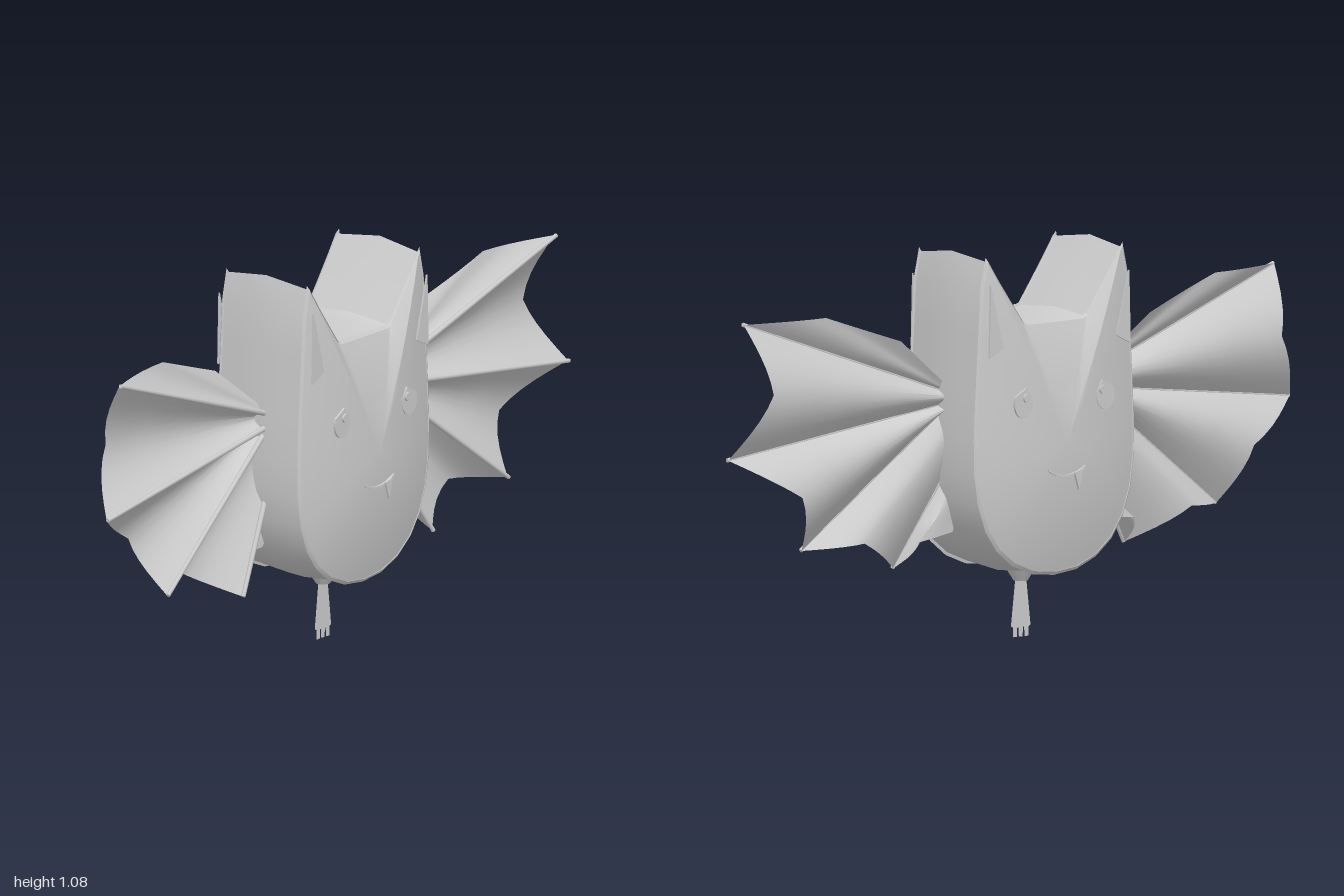
import * as THREE from 'three';
import { toCreasedNormals } from 'three/addons/utils/BufferGeometryUtils.js';

const grey = new THREE.MeshStandardMaterial({ color: 0xcccccc, side: THREE.DoubleSide });

function add(parent, name, geometry) {
  const mesh = new THREE.Mesh(geometry, grey);
  mesh.name = name;
  parent.add(mesh);
  return mesh;
}

// Surface through rows of equally many points
function loft(rows, closed, crease) {
  const pos = [], n = rows[0].length;
  for (let i = 0; i < rows.length - 1; i++) {
    for (let j = 0; j < (closed ? n : n - 1); j++) {
      const k = (j + 1) % n;
      const a = rows[i][j], b = rows[i][k], c = rows[i + 1][k], d = rows[i + 1][j];
      pos.push(...a, ...b, ...c, ...a, ...c, ...d);
    }
  }
  const g = new THREE.BufferGeometry();
  g.setAttribute('position', new THREE.Float32BufferAttribute(pos, 3));
  g.computeVertexNormals();
  return toCreasedNormals(g, crease);
}

function plate(points, depth) {
  const shape = new THREE.Shape(points.map(p => new THREE.Vector2(p[0], p[1])));
  return new THREE.ExtrudeGeometry(shape, { depth, bevelEnabled: false });
}

// Head outline, counter-clockwise, scaled about the centre of the face
const CY = 0.55;
const half = [[0.08, 0.189], [0.15, 0.218], [0.205, 0.262], [0.245, 0.32], [0.272, 0.395],
  [0.285, 0.48], [0.287, 0.58], [0.28, 0.72], [0.27, 0.88], [0.263, 1.0], [0.245, 1.08],
  [0.205, 1.02], [0.155, 0.95], [0.115, 0.895], [0.1, 0.89]];
const outline = [[0, 0.18], ...half, ...half.map(([x, y]) => [-x, y]).reverse()];
const ring = (s, z) => outline.map(([x, y]) => [x * s, CY + (y - CY) * s, z]);
const RIM = 0.965;

function buildFace() {
  const face = new THREE.Group();
  // Domed front, with the forehead wedge running down to the nose
  const rows = [1, 0.93, 0.84, 0.72, 0.58, 0.42, 0.25, 0.1, 0.001]
    .map(s => ring(s * RIM, 0.143 + 0.052 * (1 - s ** 1.9)));
  add(face, 'faceDome', loft(rows, true, 0.45));
  add(face, 'faceRim', loft([ring(RIM, 0.138), ring(0.99, 0.14), ring(RIM, 0.147)], true, 0.3));

  for (const s of [-1, 1]) {
    add(face, 'innerEar', plate([[0.245 * s, 1.0], [0.25 * s, 0.8], [0.2 * s, 0.825]], 0.006))
      .position.z = 0.161;
    // Eye: half-closed almond under a slanting lid
    const eye = [];
    for (let i = 0; i <= 14; i++) {
      const a = Math.PI * (0.86 + i / 14 * 1.2);
      eye.push([s * (0.145 - 0.032 * Math.cos(a)), 0.672 + 0.042 * Math.sin(a)]);
    }
    eye.push([s * 0.135, 0.712]);
    const eyeMesh = add(face, 'eye', plate(eye, 0.006));
    eyeMesh.position.z = 0.18;
    const pupil = add(face, 'pupil', new THREE.CylinderGeometry(0.013, 0.013, 0.006, 12));
    pupil.rotation.x = Math.PI / 2;
    pupil.position.set(0.135 * s, 0.685, 0.189);
  }

  // Smile and single fang
  const top = [], low = [];
  for (let i = 0; i <= 10; i++) {
    const x = -0.065 + 0.013 * i;
    const y = 0.462 + 4.5 * x * x;
    top.push([x, y + 0.003]);
    low.unshift([x, y - 0.003]);
  }
  add(face, 'mouth', plate([...top, ...low], 0.006)).position.z = 0.191;
  add(face, 'fang', plate([[0.025, 0.468], [0.055, 0.476], [0.04, 0.42]], 0.007)).position.z = 0.193;
  return face;
}

// Wing spokes: root, then tip; the membrane hangs back between the ribs
const spokes = [
  [[0.26, 0.71, 0.0], [0.44, 0.85, -0.02]],
  [[0.26, 0.7, 0.005], [0.69, 0.935, 0]],
  [[0.26, 0.695, 0.015], [0.94, 0.933, 0.05]],
  [[0.26, 0.68, -0.012], [0.9, 0.745, -0.03]],
  [[0.26, 0.66, 0.015], [0.995, 0.566, 0.05]],
  [[0.26, 0.655, -0.012], [0.8, 0.455, -0.032]],
  [[0.26, 0.65, 0.01], [0.735, 0.295, 0.05]],
  [[0.26, 0.58, -0.015], [0.58, 0.31, -0.032]],
  [[0.26, 0.47, 0.01], [0.41, 0.218, 0.05]],
  [[0.25, 0.41, -0.01], [0.38, 0.295, -0.025]],
  [[0.22, 0.36, 0], [0.25, 0.31, -0.01]],
];

function buildWing() {
  const wing = new THREE.Group();
  const rows = [];
  const STEPS = 5;
  const mix = (a, b, t, tz) => [a[0] + (b[0] - a[0]) * t, a[1] + (b[1] - a[1]) * t, a[2] + (b[2] - a[2]) * tz];
  spokes.forEach((s, i) => {
    const next = spokes[i + 1];
    for (let k = 0; k < (next ? STEPS : 1); k++) {
      const t = k / STEPS, tz = Math.sin(t * Math.PI / 2);
      // Sharp fold at each rib, smooth in the hollows
      const e = i % 2 === 0 ? tz : 1 - Math.cos(t * Math.PI / 2);
      const r = next ? mix(s[0], next[0], t, e) : s[0];
      const p = next ? mix(s[1], next[1], t, e) : s[1];
      rows.push([0, 0.25, 0.5, 0.75, 1].map(u => mix(r, p, u, u)));
    }
  });
  add(wing, 'membrane', loft(rows, false, 0.6));

  // Finger bones along the front of the folds
  for (const i of [2, 4, 6, 8]) {
    const a = new THREE.Vector3(...spokes[i][0]), b = new THREE.Vector3(...spokes[i][1]);
    const dir = b.clone().sub(a);
    const rib = add(wing, 'wingRib', new THREE.CylinderGeometry(0.006, 0.008, dir.length(), 8));
    rib.position.copy(a).add(b).multiplyScalar(0.5);
    rib.position.z += 0.004;
    rib.quaternion.setFromUnitVectors(new THREE.Vector3(0, 1, 0), dir.normalize());
  }
  return wing;
}

export function createModel() {
  const model = new THREE.Group();
  model.name = 'bat';

  // Side wall, slightly fuller in the middle
  const wall = [-0.143, -0.07, 0, 0.07, 0.143].map(z => ring(1 - 0.035 * Math.abs(z) / 0.143, z));
  add(model, 'bodyWall', loft(wall, true, 0.5));

  // The same face on the front and the back
  const front = buildFace();
  front.name = 'frontFace';
  const back = buildFace();
  back.name = 'backFace';
  back.rotation.y = Math.PI;
  model.add(front, back);

  const leftWing = buildWing();
  leftWing.name = 'leftWing';
  const rightWing = buildWing();
  rightWing.name = 'rightWing';
  rightWing.scale.x = -1;
  model.add(leftWing, rightWing);

  // Leg stub with a flat three-toed foot
  add(model, 'legStub', new THREE.CylinderGeometry(0.042, 0.02, 0.035, 12)).position.y = 0.172;
  const foot = [[-0.018, 0.165], [-0.034, 0.03]];
  for (const x of [-0.02, 0, 0.02]) {
    foot.push([x - 0.007, 0.026], [x - 0.006, 0], [x + 0.006, 0], [x + 0.007, 0.026]);
  }
  foot.push([0.034, 0.03], [0.018, 0.165]);
  add(model, 'foot', plate(foot, 0.002)).position.z = -0.001;

  return model;
}
